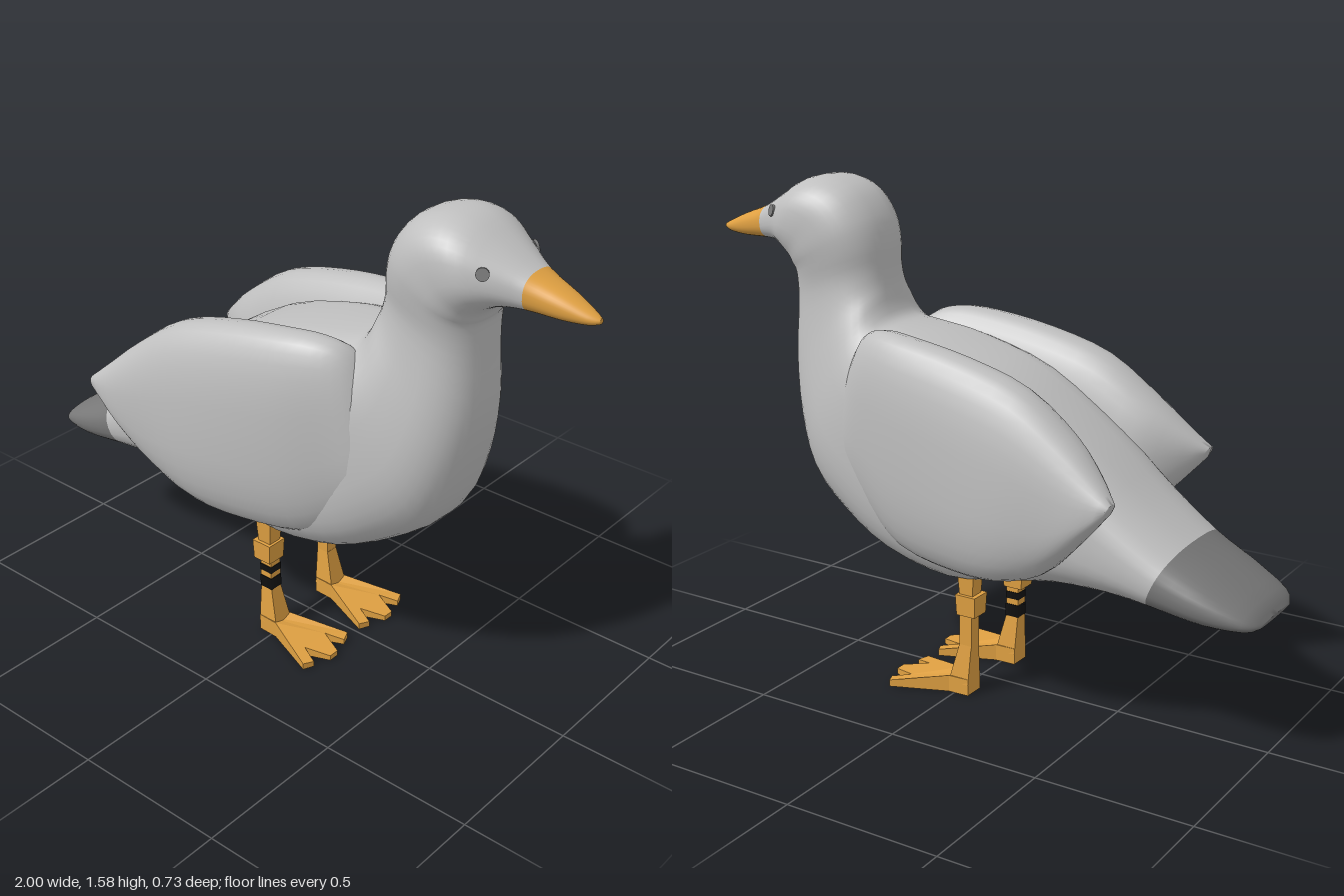
import * as THREE from 'three';

const mat = (name, color) => Object.assign(new THREE.MeshStandardMaterial({ color }), { name });

// Loft through stations [topX, topY, bottomX, bottomY, halfWidth, power, centreZ, lean], listed tail to head.
// matOf(stationIndex) picks the material of the span that follows a station.
function loft(stations, { sides = 32, sub = 3, matOf = () => 0 } = {}) {
  const curve = (f) => new THREE.CatmullRomCurve3(stations.map((s) => new THREE.Vector3(...f(s))), false, 'catmullrom', 0.5);
  const ends = curve((s) => [s[0], s[1], 0]), bases = curve((s) => [s[2], s[3], 0]);
  const forms = curve((s) => [s[4], s[5], s[6] || 0]), leans = curve((s) => [s[7] || 0, 0, 0]);
  const rings = (stations.length - 1) * sub;
  const pos = [], idx = [];
  for (let i = 0; i <= rings; i++) {
    const t = i / rings;
    const a = ends.getPoint(t), b = bases.getPoint(t), f = forms.getPoint(t), lean = leans.getPoint(t).x;
    for (let j = 0; j < sides; j++) {
      const th = (j / sides) * Math.PI * 2;
      const round = (v) => Math.sign(v) * Math.pow(Math.abs(v), 2 / f.y);
      const c = round(Math.cos(th)), s = round(Math.sin(th));
      pos.push((a.x + b.x) / 2 + c * (a.x - b.x) / 2, (a.y + b.y) / 2 + c * (a.y - b.y) / 2, f.z + s * f.x + c * lean);
    }
  }
  const geo = new THREE.BufferGeometry();
  const cap = (ring, flip, m) => {
    const start = idx.length, base = ring * sides;
    for (let j = 1; j < sides - 1; j++) idx.push(base, base + (flip ? j + 1 : j), base + (flip ? j : j + 1));
    geo.addGroup(start, idx.length - start, m);
  };
  cap(0, true, matOf(0));
  for (let i = 0; i < rings; i++) {
    const start = idx.length;
    for (let j = 0; j < sides; j++) {
      const k = (j + 1) % sides, p = i * sides, q = p + sides;
      idx.push(p + j, p + k, q + j, p + k, q + k, q + j);
    }
    geo.addGroup(start, idx.length - start, matOf(Math.floor(i / sub)));
  }
  cap(rings, false, matOf(stations.length - 2));
  geo.setAttribute('position', new THREE.Float32BufferAttribute(pos, 3));
  geo.setIndex(idx);
  geo.computeVertexNormals();
  return geo;
}

export function createModel() {
  const model = new THREE.Group();
  model.name = 'bird';
  const grey = mat('plumage grey', 0xc0c0c0);
  const dark = mat('tail grey', 0x787878);
  const orange = mat('beak and leg orange', 0xdfa042);
  const black = mat('band black', 0x111111);
  const legMat = orange.clone();
  legMat.name = 'faceted leg orange';
  legMat.flatShading = true;
  const add = (parent, name, geo, material, x = 0, y = 0, z = 0) => {
    const m = new THREE.Mesh(geo, material);
    m.name = name;
    m.position.set(x, y, z);
    parent.add(m);
    return m;
  };

  // Tail, body, neck, head and beak as one continuous skin
  const body = [
    [-1, 0.442, -0.997, 0.427, 0.11, 2.2],
    [-0.965, 0.485, -0.965, 0.41, 0.163, 2.3],
    [-0.86, 0.55, -0.84, 0.405, 0.2, 2.4],
    [-0.745, 0.62, -0.66, 0.425, 0.215, 2.4],
    [-0.6, 0.725, -0.53, 0.435, 0.228, 2.6],
    [-0.42, 0.875, -0.35, 0.43, 0.238, 3],
    [-0.17, 1.035, -0.17, 0.4, 0.243, 3.6],
    [0.07, 1.11, 0.02, 0.372, 0.245, 3.8],
    [0.22, 1.138, 0.24, 0.41, 0.25, 3.3],
    [0.285, 1.155, 0.42, 0.5, 0.243, 2.8],
    [0.31, 1.19, 0.555, 0.61, 0.222, 2.6],
    [0.323, 1.23, 0.625, 0.78, 0.192, 2.6],
    [0.332, 1.27, 0.66, 0.98, 0.163, 2.5],
    [0.338, 1.32, 0.655, 1.17, 0.148, 2.5],
    [0.345, 1.39, 0.652, 1.265, 0.16, 2.5],
    [0.37, 1.47, 0.66, 1.29, 0.17, 2.5],
    [0.43, 1.545, 0.667, 1.307, 0.172, 2.5],
    [0.52, 1.58, 0.677, 1.323, 0.171, 2.5],
    [0.61, 1.573, 0.695, 1.338, 0.16, 2.4],
    [0.7, 1.525, 0.735, 1.352, 0.122, 2.3],
    [0.8, 1.468, 0.8, 1.357, 0.076, 2.4],
    [0.9, 1.43, 0.9, 1.355, 0.05, 2.3],
    [0.97, 1.4, 0.97, 1.36, 0.028, 2],
    [1, 1.385, 1, 1.37, 0.01, 2],
  ];
  const bodyGeo = loft(body, { sides: 40, matOf: (i) => (i < 3 ? 1 : i < 20 ? 0 : 2) });
  add(model, 'bodyTailHeadBeak', bodyGeo, [grey, dark, orange]);

  // Folded wings, sunk into the flanks and fading out at the shoulder
  for (const side of [1, -1]) {
    const wing = [
      [-0.63, 0.795, -0.61, 0.75, 0.03, 0.318, 0],
      [-0.56, 0.86, -0.5, 0.63, 0.075, 0.284, 0],
      [-0.46, 0.95, -0.37, 0.51, 0.112, 0.248, 0.01],
      [-0.3, 1.062, -0.22, 0.46, 0.122, 0.242, 0.005],
      [-0.1, 1.122, -0.05, 0.45, 0.12, 0.228, 0.012],
      [0.1, 1.155, 0.15, 0.47, 0.112, 0.205, 0.025],
      [0.22, 1.16, 0.3, 0.56, 0.1, 0.18, 0.028],
      [0.3, 1.13, 0.4, 0.66, 0.075, 0.168, 0.01],
      [0.36, 1.04, 0.45, 0.75, 0.04, 0.15, 0],
    ].map(([a, b, c, d, w, z, lean]) => [a, b, c, d, w, 2.5, side * z, side * lean]);
    add(model, side > 0 ? 'rightWing' : 'leftWing', loft(wing), grey);
  }

  // Eyes, set as thin discs on the sides of the head
  for (const side of [1, -1]) {
    const eye = add(model, 'eye', new THREE.CylinderGeometry(0.019, 0.019, 0.008, 16), dark, 0.705, 1.468, side * 0.125);
    eye.quaternion.setFromUnitVectors(new THREE.Vector3(0, 1, 0), new THREE.Vector3(0.5, 0.22, side * 0.84).normalize());
  }

  // Webbed foot outline (x forward, z sideways), thicker towards the heel
  const half = [[-0.05, 0.035], [0.02, 0.038], [0.2, 0.11], [0.215, 0.075], [0.155, 0.05], [0.235, 0.018]];
  const outline = [...half, ...half.map(([x, z]) => [x, -z]).reverse()];
  const footGeo = new THREE.ExtrudeGeometry(new THREE.Shape(outline.map(([x, z]) => new THREE.Vector2(x, z))), { depth: 0.02, bevelEnabled: false });
  footGeo.rotateX(-Math.PI / 2);
  const fp = footGeo.attributes.position;
  for (let i = 0; i < fp.count; i++) {
    if (fp.getY(i) > 0.01) fp.setY(i, THREE.MathUtils.mapLinear(THREE.MathUtils.clamp(fp.getX(i), 0.02, 0.22), 0.02, 0.22, 0.055, 0.018));
  }
  footGeo.computeVertexNormals();

  // Square-sectioned legs, with two bands on the right one; top and bottom are half widths
  const prism = (top, bottom, height) => new THREE.CylinderGeometry(top * Math.SQRT2, bottom * Math.SQRT2, height, 4, 1, false, Math.PI / 4);
  for (const [name, z] of [['rightLeg', 0.155], ['leftLeg', -0.125]]) {
    const leg = new THREE.Group();
    leg.name = name;
    leg.position.z = z;
    model.add(leg);
    add(leg, 'thigh', prism(0.03, 0.024, 0.09), legMat, -0.037, 0.375);
    add(leg, 'knee', prism(0.036, 0.033, 0.068), legMat, -0.04, 0.302);
    add(leg, 'shank', prism(0.022, 0.022, 0.12), legMat, -0.033, 0.22);
    const ankle = prism(0.022, 0.036, 0.13);
    ankle.translate(0, 0.065, 0);
    const ap = ankle.attributes.position;
    for (let i = 0; i < ap.count; i++) ap.setX(i, ap.getX(i) - 0.014 - ap.getY(i) * 0.14);
    ankle.computeVertexNormals();
    add(leg, 'ankle', ankle, legMat, 0, 0.035);
    add(leg, 'foot', footGeo, legMat);
    if (z > 0) {
      add(leg, 'wideBand', prism(0.0235, 0.0235, 0.042), black, -0.032, 0.184);
      add(leg, 'narrowBand', prism(0.0235, 0.0235, 0.024), black, -0.033, 0.237);
    }
  }
  return model;
}
